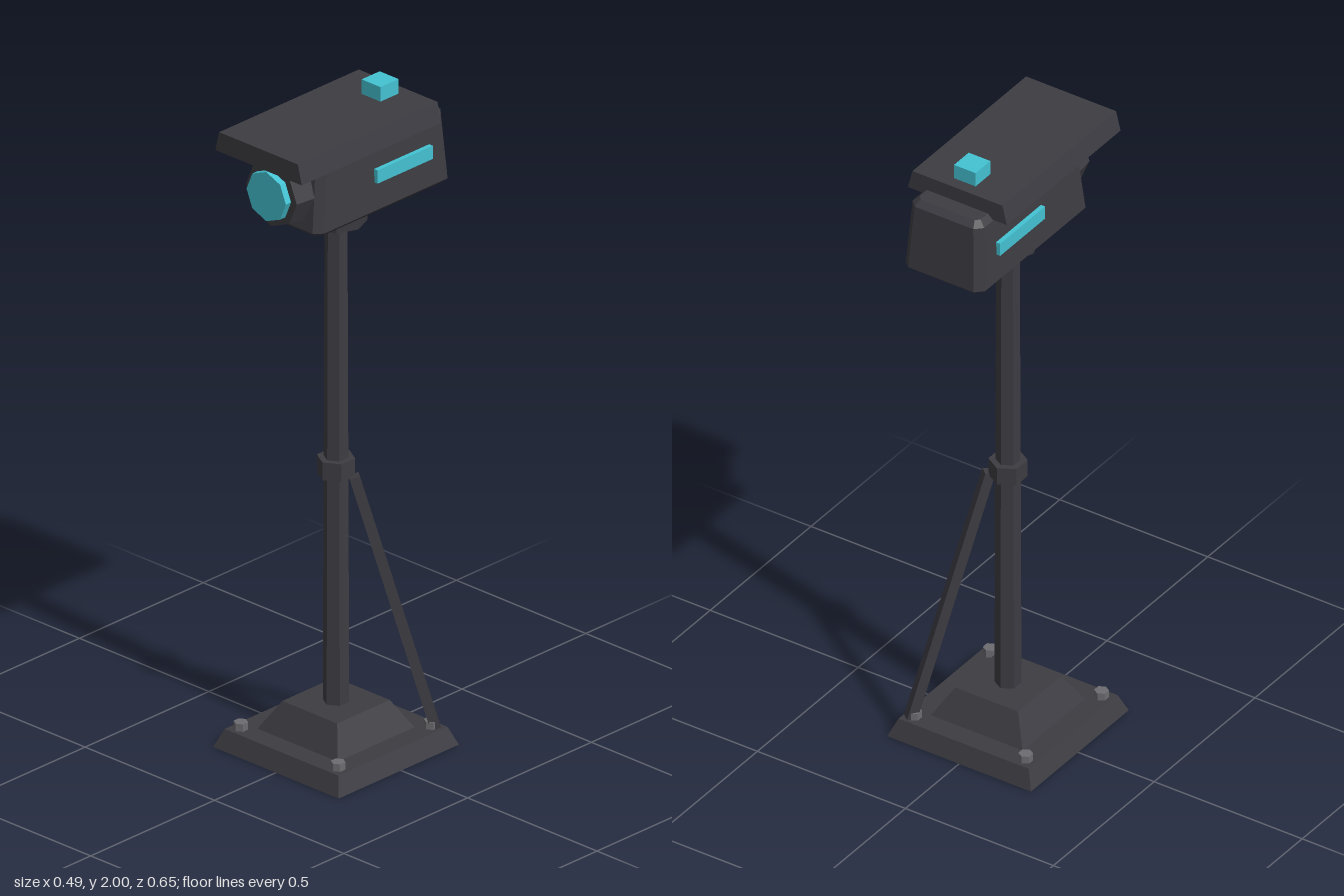
import * as THREE from 'three';

const metal = new THREE.MeshStandardMaterial({ color: 0x3d3c42 });
metal.name = 'dark metal';
const glow = new THREE.MeshStandardMaterial({ color: 0x44c2d2 });
glow.name = 'cyan light';
const steel = new THREE.MeshStandardMaterial({ color: 0x6c6c71 });
steel.name = 'grey steel';

const CZ = 0.009; // depth of the pole axis

// Faceted mesh with hard edges
function part(name, geometry, material, x = 0, y = 0, z = 0) {
  const flat = geometry.index ? geometry.toNonIndexed() : geometry;
  flat.computeVertexNormals();
  const mesh = new THREE.Mesh(flat, material);
  mesh.name = name;
  mesh.position.set(x, y, z);
  return mesh;
}

// Rectangle outline at one height, with optional chamfered corners
function ring({ y, hx, back, front, c = 0 }) {
  const corners = c
    ? [[hx - c, front], [hx, front - c], [hx, back + c], [hx - c, back],
      [c - hx, back], [-hx, back + c], [-hx, front - c], [c - hx, front]]
    : [[hx, front], [hx, back], [-hx, back], [-hx, front]];
  return corners.map(([x, z]) => [x, y, z]);
}

// Closed solid through outlines stacked from bottom to top
function loft(sections) {
  const rings = sections.map(ring);
  const n = rings[0].length;
  const pos = [];
  const tri = (a, b, c) => pos.push(...a, ...b, ...c);
  for (let s = 0; s < rings.length - 1; s++) {
    for (let i = 0; i < n; i++) {
      const j = (i + 1) % n, lo = rings[s], hi = rings[s + 1];
      tri(lo[i], lo[j], hi[j]);
      tri(lo[i], hi[j], hi[i]);
    }
  }
  const bottom = rings[0], top = rings[rings.length - 1];
  for (let i = 1; i < n - 1; i++) {
    tri(top[0], top[i], top[i + 1]);
    tri(bottom[0], bottom[i + 1], bottom[i]);
  }
  const geometry = new THREE.BufferGeometry();
  geometry.setAttribute('position', new THREE.Float32BufferAttribute(pos, 3));
  return geometry;
}

// Square section centred on the pole axis
const square = (y, h) => ({ y, hx: h, back: CZ - h, front: CZ + h });

// Upright prism between two heights
function prism(name, y0, y1, rBottom, rTop, sides, material, x = 0, z = CZ) {
  const g = new THREE.CylinderGeometry(rTop, rBottom, y1 - y0, sides);
  return part(name, g, material, x, (y0 + y1) / 2, z);
}

// Prism pointing forward
function barrel(name, z0, z1, rBack, rFront, material) {
  const g = new THREE.CylinderGeometry(rFront, rBack, z1 - z0, 8).rotateX(Math.PI / 2);
  return part(name, g, material, 0, 1.795, (z0 + z1) / 2);
}

export function createModel() {
  const model = new THREE.Group();
  model.name = 'securityCamera';

  // Stepped base with four bolts
  model.add(part('basePlate', loft([square(0, 0.243), square(0.055, 0.22)]), metal));
  model.add(part('baseStep', loft([square(0.055, 0.155), square(0.14, 0.106)]), metal));
  for (const sx of [-1, 1]) {
    for (const sz of [-1, 1]) {
      model.add(prism('bolt', 0.05, 0.078, 0.021, 0.021, 6, steel, sx * 0.188, CZ + sz * 0.188));
    }
  }

  // Tapered pole, collar and mount
  model.add(prism('pole', 0.13, 1.64, 0.038, 0.033, 6, metal));
  model.add(prism('collar', 0.84, 0.895, 0.055, 0.055, 6, metal));
  model.add(prism('mount', 1.625, 1.69, 0.087, 0.096, 8, metal));

  // Diagonal brace from collar to base corner
  const from = new THREE.Vector3(0.052, 0.845, -0.01);
  const to = new THREE.Vector3(0.196, 0.055, -0.187);
  const brace = part('brace', new THREE.BoxGeometry(0.03, 0.03, from.distanceTo(to)), metal);
  brace.position.copy(from).lerp(to, 0.5);
  brace.lookAt(to);
  model.add(brace);

  // Bevelled camera body, wider at the bottom
  const head = new THREE.Group();
  head.name = 'cameraHead';
  head.add(part('body', loft([
    { y: 1.675, hx: 0.115, back: -0.305, front: 0.2, c: 0.018 },
    { y: 1.692, hx: 0.134, back: -0.324, front: 0.22, c: 0.023 },
    { y: 1.893, hx: 0.121, back: -0.309, front: 0.195, c: 0.022 },
    { y: 1.91, hx: 0.103, back: -0.29, front: 0.178, c: 0.012 },
  ]), metal));

  // Sun visor
  head.add(part('visor', loft([
    { y: 1.895, hx: 0.167, back: -0.242, front: 0.322 },
    { y: 1.955, hx: 0.152, back: -0.242, front: 0.322 },
  ]), metal));

  // Lens housing and glass
  head.add(barrel('lensHousing', 0.19, 0.27, 0.108, 0.098, metal));
  head.add(barrel('lensGlass', 0.25, 0.291, 0.076, 0.076, glow));

  // Side light strips and top beacon
  for (const s of [-1, 1]) {
    head.add(part('sideLight', new THREE.BoxGeometry(0.024, 0.041, 0.223), glow, s * 0.128, 1.797, -0.124));
  }
  head.add(part('beacon', new THREE.BoxGeometry(0.073, 0.055, 0.073), glow, 0, 1.9725, -0.169));
  model.add(head);

  return model;
}
